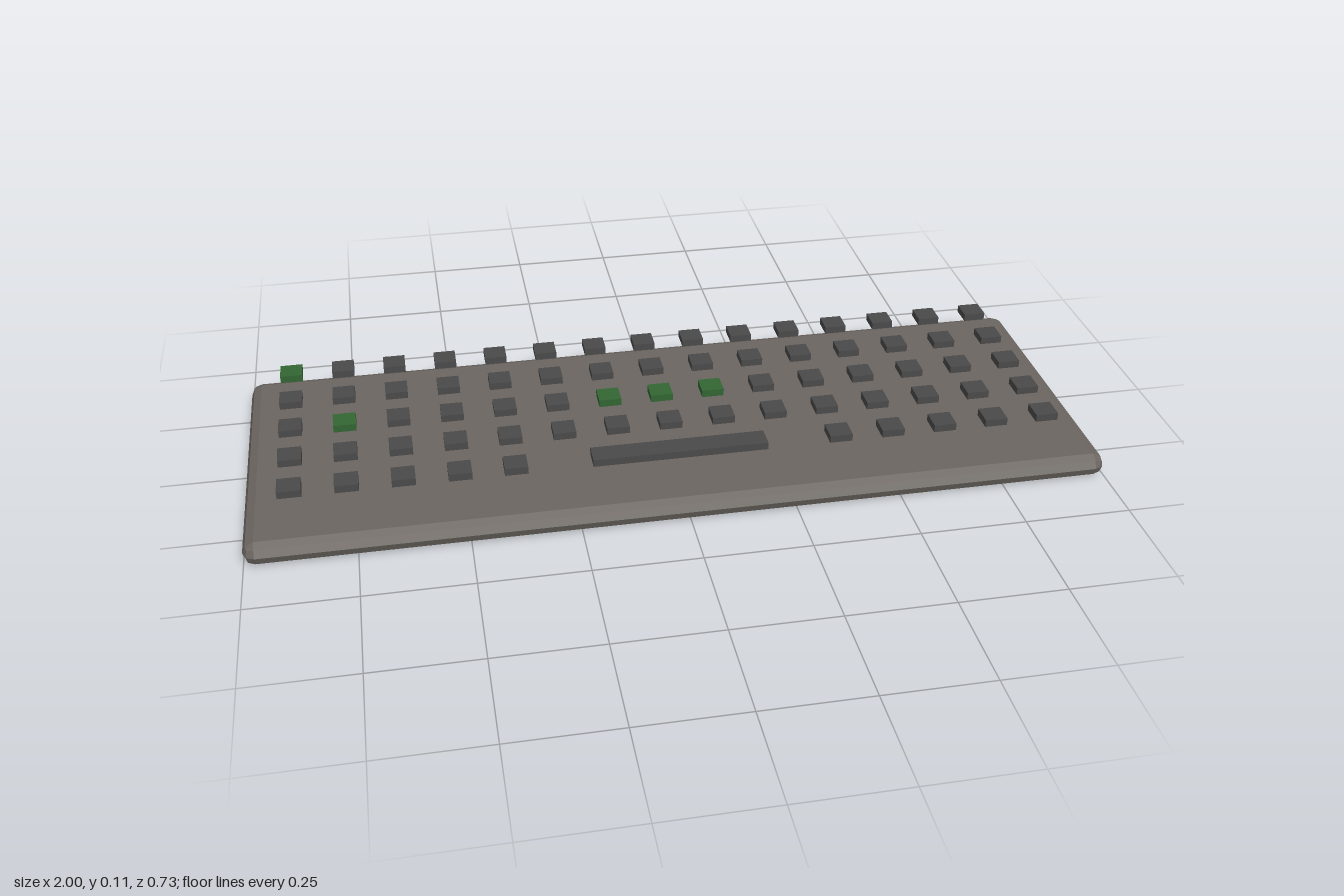
import * as THREE from 'three';
import { RoundedBoxGeometry } from 'three/addons/geometries/RoundedBoxGeometry.js';

export function createModel() {
  const model = new THREE.Group();
  model.name = 'keyboard';

  const caseMat = new THREE.MeshStandardMaterial({ color: 0x6b6560, flatShading: true });
  const keyMat = new THREE.MeshStandardMaterial({ color: 0x4a4a4a });
  const greenMat = new THREE.MeshStandardMaterial({ color: 0x336633 });

  // Flat case with chamfered edges
  const body = new THREE.Mesh(new RoundedBoxGeometry(2, 0.054, 0.727, 1, 0.027), caseMat);
  body.name = 'case';
  body.position.y = 0.027;
  model.add(body);

  // Keys hover above the case in a regular grid
  const keys = new THREE.Group();
  keys.name = 'keys';
  model.add(keys);

  const pitch = 0.1275, size = 0.054, height = 0.018, keyY = 0.101, backZ = -0.301;
  const keyGeo = new THREE.BoxGeometry(size, height, size);
  const addKey = (name, geometry, material, x, row) => {
    const key = new THREE.Mesh(geometry, material);
    key.name = name;
    key.position.set(x, keyY, backZ + row * pitch);
    keys.add(key);
  };

  // Coloured keys, as row-column
  const green = new Set(['0-0', '2-1', '2-6', '2-7', '2-8']);
  for (let row = 0; row < 5; row++) {
    for (let col = 0; col < 15; col++) {
      // Gap in the front row for the wide key
      if (row === 4 && col > 4 && col < 10) continue;
      const isGreen = green.has(`${row}-${col}`);
      addKey(isGreen ? 'greenKey' : 'key', keyGeo, isGreen ? greenMat : keyMat, (col - 7) * pitch, row);
    }
  }

  // Wide key
  addKey('spaceBar', new THREE.BoxGeometry(0.412, height, size), keyMat, 0, 4);

  return model;
}
